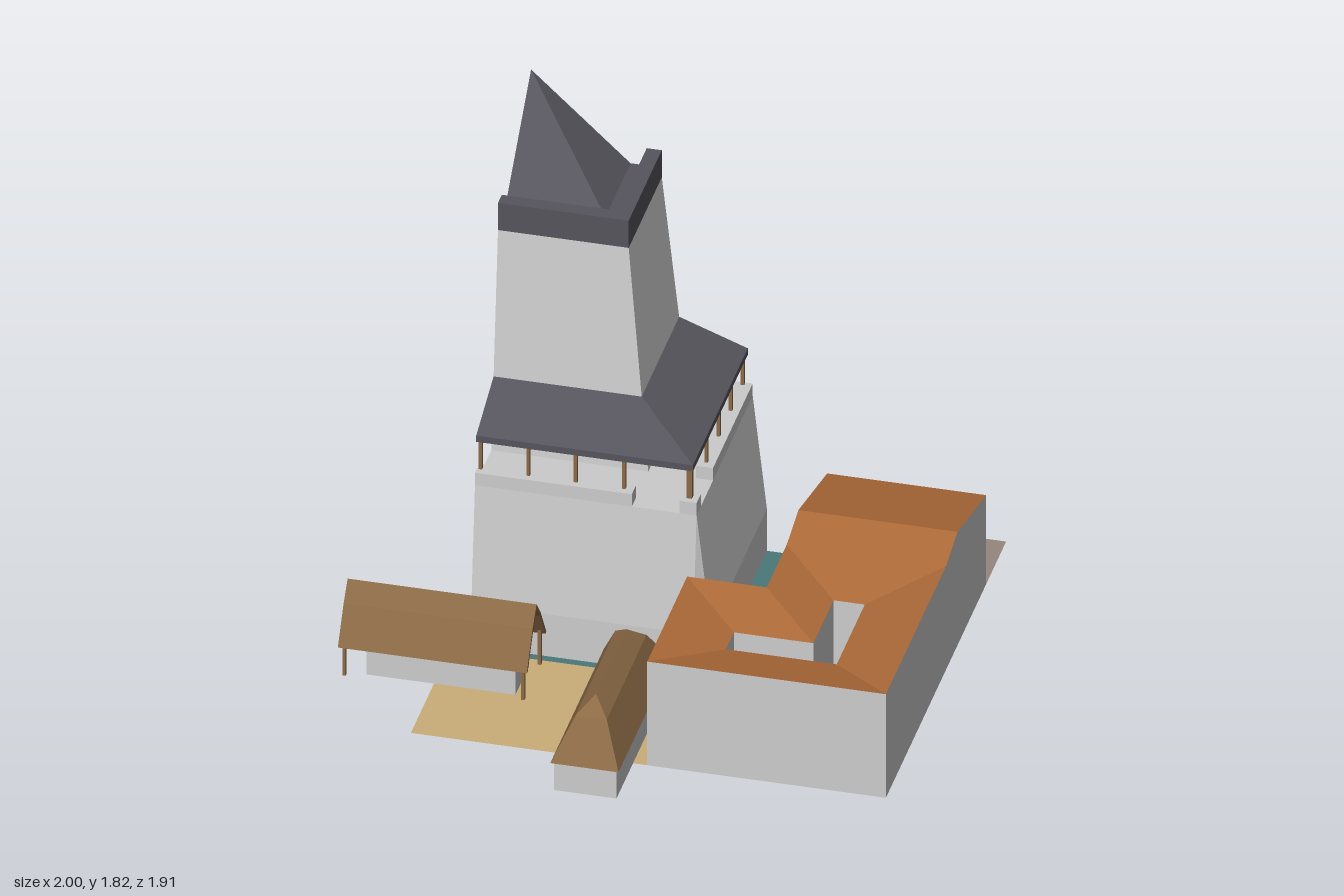
import * as THREE from 'three';

const GREY = 0xcccccc, SLATE = 0x56545c, ORANGE = 0xad6a38, BROWN = 0x8b6a45, TAN = 0xcbae78, TEAL = 0x4a787a, EARTH = 0x94877f;
const CX = -0.672, CZ = -0.957; // tower axis, on the cut corner of the model
const G = 0.17;                 // ground level

const material = color => new THREE.MeshStandardMaterial({ color, flatShading: true, side: THREE.DoubleSide });

// Flat polygons (each a convex loop of [x, y, z]) as one mesh
function sheets(name, color, polys) {
  const pos = [];
  for (const p of polys)
    for (let i = 1; i < p.length - 1; i++) pos.push(...p[0], ...p[i], ...p[i + 1]);
  const geo = new THREE.BufferGeometry();
  geo.setAttribute('position', new THREE.Float32BufferAttribute(pos, 3));
  geo.computeVertexNormals();
  const m = new THREE.Mesh(geo, material(color));
  m.name = name;
  return m;
}

function box(name, color, x0, x1, y0, y1, z0, z1) {
  const m = new THREE.Mesh(new THREE.BoxGeometry(x1 - x0, y1 - y0, z1 - z0), material(color));
  m.position.set((x0 + x1) / 2, (y0 + y1) / 2, (z0 + z1) / 2);
  m.name = name;
  return m;
}

const floorRect = (x0, x1, z0, z1, y) => [[x0, y, z1], [x1, y, z1], [x1, y, z0], [x0, y, z0]];

// Quarter of a square tower: sweeps [half width, y, corner chamfer] around the corner
function quarter(name, color, profile) {
  const loops = profile.map(([h, y, c = 0]) =>
    [[0, h], [h - c, h], [h, h - c], [h, 0]].map(([u, v]) => [CX + u, y, CZ + v]));
  const polys = [];
  for (let i = 0; i < loops.length - 1; i++)
    for (let k = 0; k < 3; k++)
      polys.push([loops[i][k], loops[i][k + 1], loops[i + 1][k + 1], loops[i + 1][k]]);
  return sheets(name, color, polys);
}

function makeTower() {
  const g = new THREE.Group();
  g.name = 'tower';
  g.add(quarter('towerBase', GREY, [[0.83, 0, 0.05], [0.83, G, 0.05], [0.78, 0.62]]));
  g.add(quarter('walkway', GREY, [[0.78, 0.62], [0.552, 0.62]]));
  g.add(quarter('towerShaft', GREY, [[0.552, 0.62], [0.46, 1.455]]));
  g.add(quarter('walkwayRoof', SLATE, [[0.521, 0.875], [0.763, 0.785], [0.763, 0.81], [0.521, 0.9]]));
  g.add(quarter('towerCrown', SLATE, [[0.46, 1.455], [0.46, 1.565], [0.407, 1.565], [0.407, 1.495], [0.35, 1.495]]));
  g.add(quarter('spire', SLATE, [[0.35, 1.495], [0, 1.82]]));

  // Parapet and roof posts, mirrored across the tower diagonal
  const both = (name, color, u0, u1, v0, v1, y0, y1) => {
    g.add(box(name, color, CX + u0, CX + u1, y0, y1, CZ + v0, CZ + v1));
    g.add(box(name, color, CX + v0, CX + v1, y0, y1, CZ + u0, CZ + u1));
  };
  both('parapet', GREY, 0, 0.552, 0.72, 0.78, 0.62, 0.67);
  g.add(box('parapetCorner', GREY, CX + 0.72, CX + 0.78, 0.62, 0.67, CZ + 0.72, CZ + 0.78));
  for (const u of [0.012, 0.18, 0.347, 0.517])
    both('roofPost', BROWN, u - 0.006, u + 0.006, 0.742, 0.754, 0.67, 0.8);
  g.add(box('cornerPost', BROWN, CX + 0.738, CX + 0.758, 0.67, 0.8, CZ + 0.738, CZ + 0.758));
  return g;
}

function makeGrounds() {
  const g = new THREE.Group();
  g.name = 'grounds';
  g.add(sheets('moatWater', TEAL, [floorRect(CX, 0.44, CZ, 0.16, 0)]));
  g.add(sheets('moatWalls', GREY, [
    [[CX, 0, 0.16], [0.44, 0, 0.16], [0.44, G, 0.16], [CX, G, 0.16]],
    [[0.44, 0, 0.16], [0.44, 0, CZ], [0.44, G, CZ], [0.44, G, 0.16]]]));
  g.add(sheets('yard', TAN, [floorRect(CX, 0.16, 0.16, 0.715, G), floorRect(0.38, 0.77, 0.1, 0.49, G + 0.003)]));
  g.add(sheets('backTerrace', EARTH, [floorRect(0.44, 1, CZ, -0.68, G)]));
  return g;
}

// L-shaped house whose roofs fall inward to an L-shaped courtyard
function makeHouse() {
  const g = new THREE.Group();
  g.name = 'courtyardHouse';
  const H = 0.59, L = 0.535, R = 0.63, B = 0.53, F = 0.715;
  const wall = ([x0, z0], [x1, z1], y) => [[x0, G, z0], [x1, G, z1], [x1, y, z1], [x0, y, z0]];
  const side = x => [[x, G, -0.12], [x, G, -0.68], [x, B, -0.68], [x, R, -0.28], [x, H, -0.12]];
  g.add(sheets('outerWalls', GREY, [
    wall([0.16, F], [1, F], H), wall([0.16, 0.16], [0.16, F], H), wall([0.44, 0.16], [0.16, 0.16], H),
    wall([1, F], [1, -0.12], H), wall([0.44, -0.12], [0.44, 0.16], H), side(1), side(0.44)]));
  const yard = [[0.38, 0.49], [0.77, 0.49], [0.77, 0.1], [0.66, 0.1], [0.66, 0.38], [0.38, 0.38]];
  g.add(sheets('courtyardWalls', GREY, yard.map((p, i) => wall(p, yard[(i + 1) % 6], L))));
  g.add(sheets('houseFloor', GREY, [floorRect(0.16, 1, 0.16, F, G), floorRect(0.44, 1, -0.68, 0.16, G)]));

  // Roof slopes between the outer eaves and the courtyard rim
  const o = (x, z) => [x, H, z], c = (x, z) => [x, L, z];
  g.add(sheets('roof', ORANGE, [
    [o(0.16, 0.16), o(0.16, F), c(0.38, 0.49), c(0.38, 0.38)],
    [o(0.16, F), o(1, F), c(0.77, 0.49), c(0.38, 0.49)],
    [o(1, F), o(1, -0.12), c(0.77, 0.1), c(0.77, 0.49)],
    [o(0.44, -0.12), o(0.44, 0.16), c(0.66, 0.38), c(0.66, 0.1)].reverse(),
    [o(0.44, 0.16), o(0.16, 0.16), c(0.38, 0.38), c(0.66, 0.38)],
    [[1, R, -0.28], [0.44, R, -0.28], o(0.44, -0.12), c(0.66, 0.1), c(0.77, 0.1), o(1, -0.12)],
    [[0.44, R, -0.28], [1, R, -0.28], [1, B, -0.68], [0.44, B, -0.68]]]));

  // Back wall with two recessed doorways
  const s = new THREE.Shape();
  s.moveTo(0.44, G);
  for (const x of [0.625, 0.76]) {
    s.lineTo(x - 0.035, G); s.lineTo(x - 0.035, G + 0.13);
    s.lineTo(x + 0.035, G + 0.13); s.lineTo(x + 0.035, G);
  }
  s.lineTo(1, G); s.lineTo(1, B); s.lineTo(0.44, B);
  const back = new THREE.Mesh(new THREE.ExtrudeGeometry(s, { depth: 0.03, bevelEnabled: false }), material(GREY));
  back.position.z = -0.68;
  back.name = 'backWall';
  g.add(back, box('doors', GREY, 0.55, 0.85, G, G + 0.16, -0.651, -0.645));
  return g;
}

// Gatehouse with a two-pitch hipped roof
function makeGatehouse() {
  const g = new THREE.Group();
  g.name = 'gatehouse';
  g.add(box('gateWalls', GREY, -0.11, 0.11, G, 0.29, 0.24, 0.945));
  const loop = (x, y, z0, z1) => [[-x, y, z1], [x, y, z1], [x, y, z0], [-x, y, z0]];
  const rings = [loop(0.12, 0.285, 0.212, 0.957), loop(0.055, 0.43, 0.31, 0.863), loop(0, 0.485, 0.375, 0.795)];
  const polys = [rings[0].slice().reverse()];
  for (let i = 0; i < 2; i++)
    for (let k = 0; k < 4; k++) {
      const n = (k + 1) % 4;
      polys.push([rings[i][k], rings[i][n], rings[i + 1][n], rings[i + 1][k]]);
    }
  g.add(sheets('gateRoof', BROWN, polys));
  return g;
}

// Long shed under a thin two-pitch roof on end posts
function makeShed() {
  const g = new THREE.Group();
  g.name = 'shed';
  const Z = 0.298;
  g.add(box('shedWalls', GREY, -0.91, -0.385, G, 0.3, Z - 0.095, Z + 0.095));
  const gable = new THREE.Shape([[-0.095, 0.3], [0.095, 0.3], [0.05, 0.4], [0, 0.465], [-0.05, 0.4]].map(p => new THREE.Vector2(...p)));
  const roof = new THREE.Shape([[-0.136, 0.29], [-0.055, 0.42], [0, 0.485], [0.055, 0.42], [0.136, 0.29],
    [0.122, 0.29], [0.045, 0.41], [0, 0.465], [-0.045, 0.41], [-0.122, 0.29]].map(p => new THREE.Vector2(...p)));
  for (const [name, shape, color, x0, x1] of [['shedGables', gable, GREY, -0.91, -0.385], ['shedRoof', roof, BROWN, -1, -0.335]]) {
    const m = new THREE.Mesh(new THREE.ExtrudeGeometry(shape, { depth: x1 - x0, bevelEnabled: false }), material(color));
    m.rotation.y = -Math.PI / 2;
    m.position.set(x1, 0, Z);
    m.name = name;
    g.add(m);
  }
  for (const x of [-0.982, -0.353])
    for (const z of [Z - 0.115, Z + 0.115])
      g.add(box('shedPost', BROWN, x - 0.006, x + 0.006, G, 0.31, z - 0.006, z + 0.006));
  return g;
}

export function createModel() {
  const model = new THREE.Group();
  model.name = 'castleQuarter';
  model.add(makeGrounds(), makeTower(), makeHouse(), makeGatehouse(), makeShed());
  return model;
}
